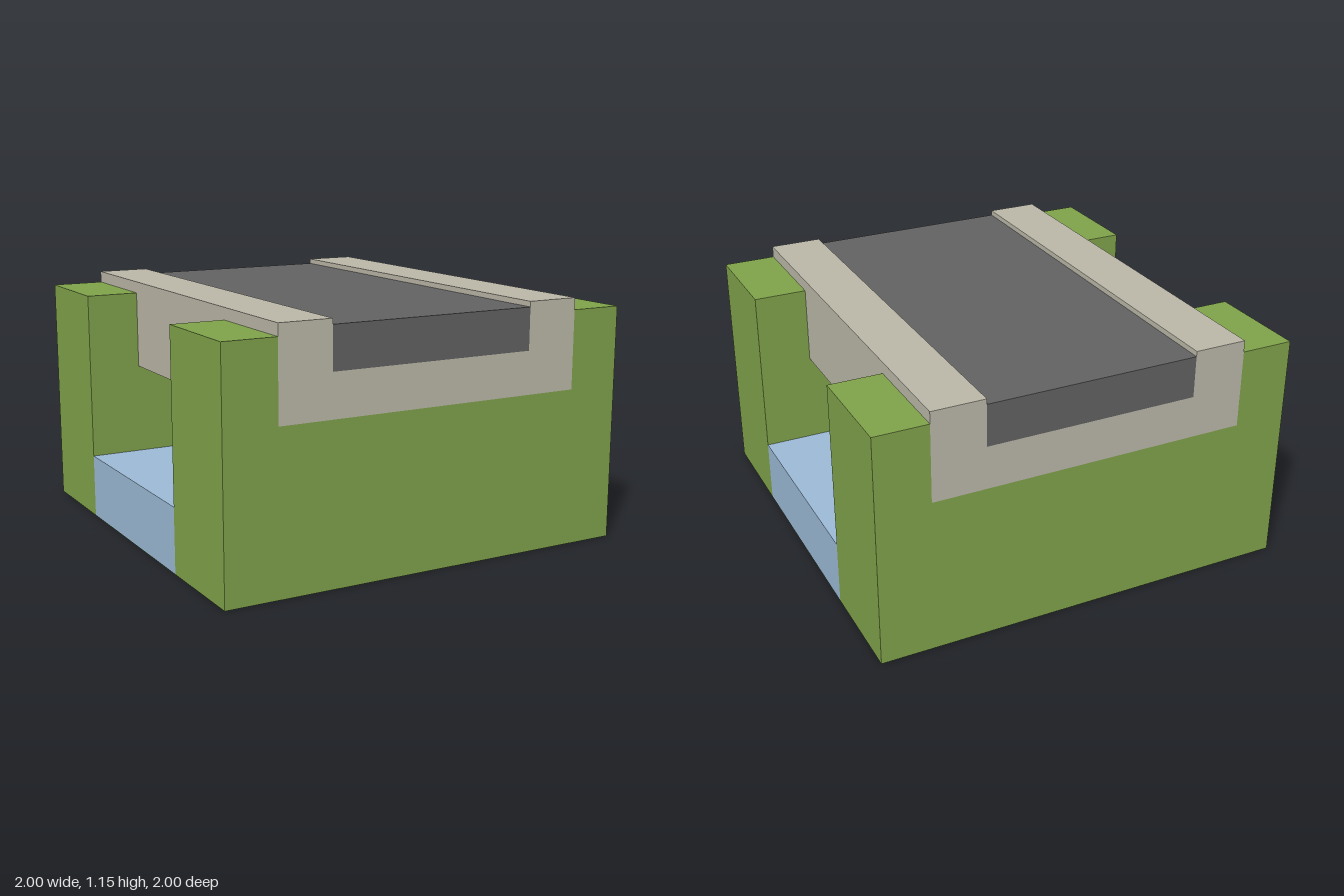
import * as THREE from 'three';

const material = (color) => new THREE.MeshStandardMaterial({ color, flatShading: true });

export function createModel() {
  const model = new THREE.Group();
  const grass = material(0x7fa24a);
  const concrete = material(0xbbb8a8);
  const asphalt = material(0x626262);
  const blue = material(0x9cbad6);

  function add(name, geometry, mat, y = 0, z = 0) {
    const mesh = new THREE.Mesh(geometry, mat);
    mesh.name = name;
    mesh.position.set(0, y, z);
    model.add(mesh);
  }

  // Upright U profile, extruded along z and centred on z = 0
  function channel(halfWidth, bottom, top, halfGap, gapFloor, depth) {
    const shape = new THREE.Shape([
      [-halfWidth, bottom], [halfWidth, bottom], [halfWidth, top], [halfGap, top],
      [halfGap, gapFloor], [-halfGap, gapFloor], [-halfGap, top], [-halfWidth, top],
    ].map(([x, y]) => new THREE.Vector2(x, y)));
    return new THREE.ExtrudeGeometry(shape, { depth, bevelEnabled: false }).translate(0, 0, -depth / 2);
  }

  const bridgeBottom = 0.735;
  const roadBottom = 0.935;
  const roadTop = 1.13;
  const waterTop = 0.305;
  const bed = 0.002;

  // River banks, notched to hold the bridge
  for (const [name, side] of [['frontBank', 1], ['backBank', -1]]) {
    add(name, channel(1, 0, 1.1, 0.75, bridgeBottom, 0.5), grass, 0, side * 0.75);
  }

  // Thin river bed and the water lying on it
  add('riverBed', new THREE.BoxGeometry(2, bed, 1), grass, bed / 2);
  add('water', new THREE.BoxGeometry(2, waterTop - bed, 1), blue, (waterTop + bed) / 2);

  // Bridge deck with raised parapets, and the road between them
  add('bridgeDeck', channel(0.75, bridgeBottom, 1.155, 0.5, roadBottom, 2), concrete);
  add('road', new THREE.BoxGeometry(1, roadTop - roadBottom, 2), asphalt, (roadTop + roadBottom) / 2);

  return model;
}
